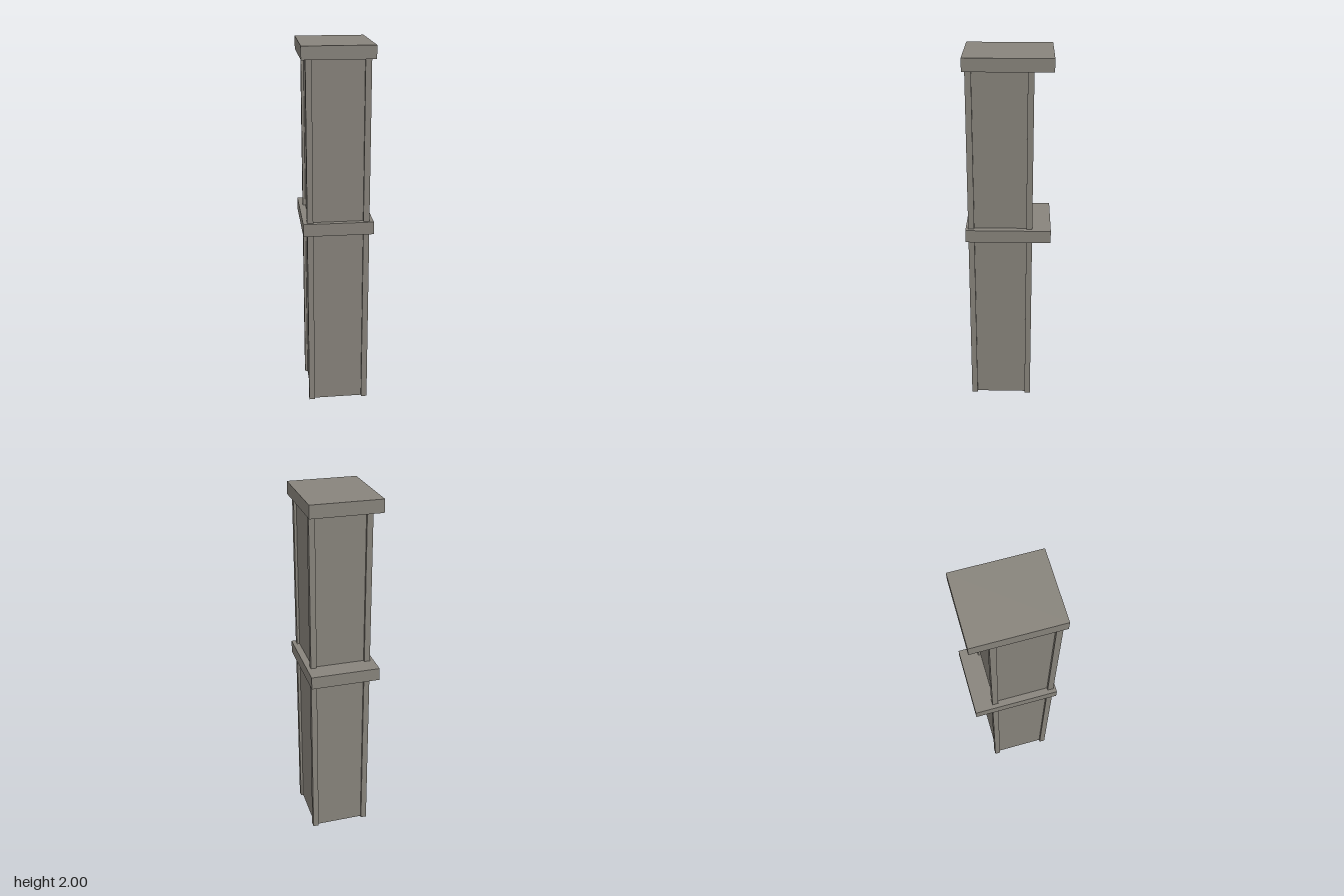
import * as THREE from 'three';

export function createModel() {
  const model = new THREE.Group();
  model.name = 'column';
  const stone = new THREE.MeshStandardMaterial({ color: 0x88847c, flatShading: true });
  stone.name = 'warm grey stone';

  // Adds a box given by its lower and upper corners
  function addBox(name, min, max) {
    const size = max.map((v, i) => v - min[i]);
    const mesh = new THREE.Mesh(new THREE.BoxGeometry(...size), stone);
    mesh.position.set(...max.map((v, i) => (v + min[i]) / 2));
    mesh.name = name;
    model.add(mesh);
  }

  const height = 1.932;
  const halfX = 0.166, front = 0.214, back = -0.129; // shaft stands forward of the slabs' centre
  const post = 0.032;
  const recess = post / 2, thick = 0.004;

  // Four square corner posts
  for (const x of [-halfX, halfX - post]) {
    for (const z of [back, front - post]) {
      addBox('cornerPost', [x, 0, z], [x + post, height, z + post]);
    }
  }

  // Thin recessed panels between the posts, open underneath
  const px = halfX - recess;
  for (const x of [-px, px]) {
    addBox('sidePanel', [x - thick / 2, 0, back + recess], [x + thick / 2, height, front - recess]);
  }
  for (const [name, z] of [['frontPanel', front - recess], ['backPanel', back + recess]]) {
    addBox(name, [-px, 0, z - thick / 2], [px, height, z + thick / 2]);
  }

  // Middle band and top cap
  addBox('middleBand', [-0.188, 1.01, -0.228], [0.188, 1.079, 0.228]);
  addBox('topCap', [-0.188, height, -0.228], [0.188, 2, 0.228]);

  return model;
}
